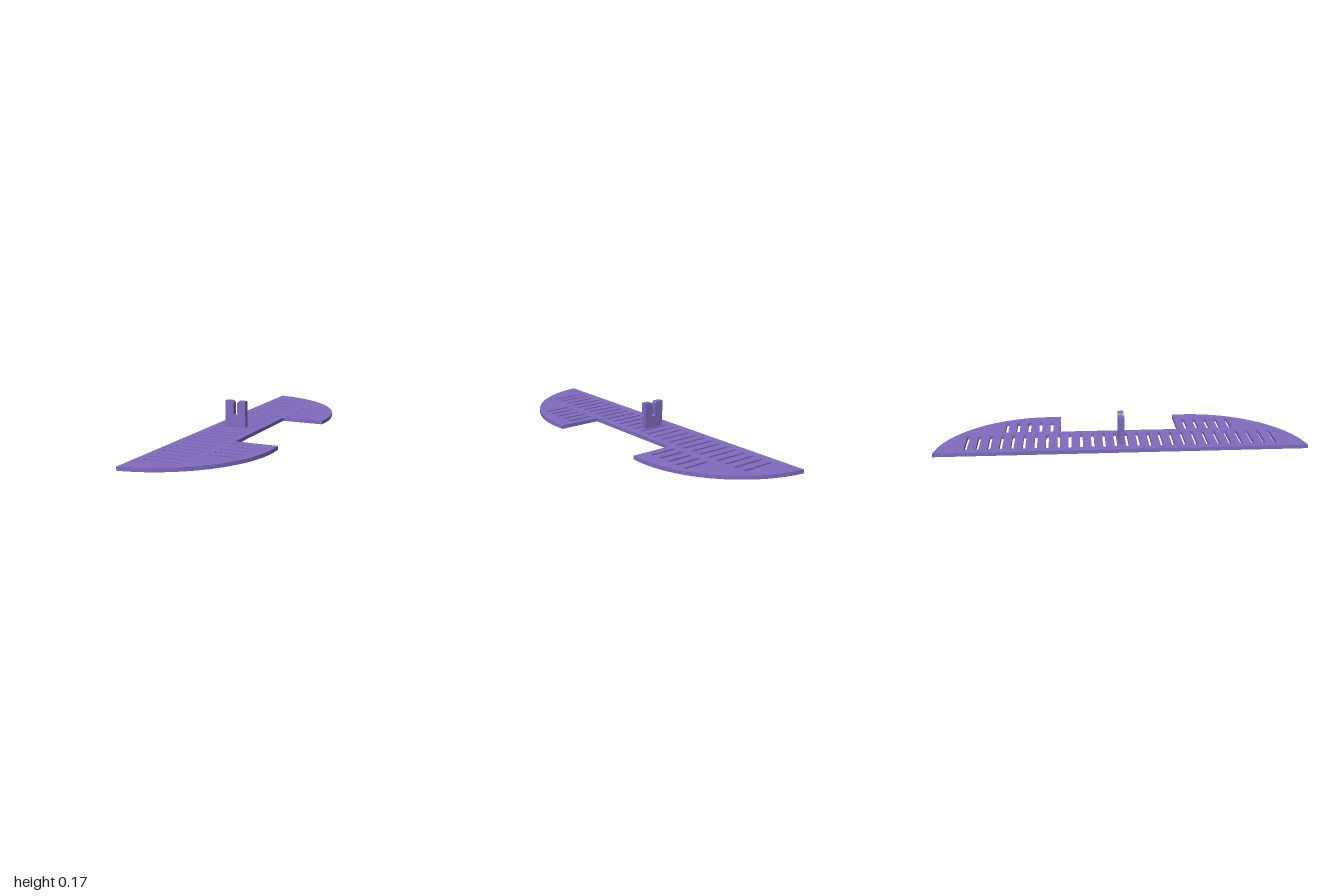
import * as THREE from 'three';

const T = 0.02; // plate thickness

// rectangular slot centred on z, spanning x0..x1
function slot(x0, x1, z, h) {
  const p = new THREE.Path();
  p.moveTo(x0, z - h / 2);
  p.lineTo(x0, z + h / 2);
  p.lineTo(x1, z + h / 2);
  p.lineTo(x1, z - h / 2);
  p.closePath();
  return p;
}

// flat plate with two rounded wings and rows of slots
function plateGeometry() {
  const cx = -0.34, cz = 0.4, r = 0.605;
  const a = Math.atan2(1 - cz, -0.265 - cx);
  const s = new THREE.Shape();
  s.moveTo(-0.265, -1);
  s.absarc(cx, -cz, r, -a, 0, false);
  s.lineTo(0.263, -0.33);
  s.lineTo(0.02, -0.33);
  s.lineTo(0.02, 0.33);
  s.lineTo(0.263, 0.33);
  s.absarc(cx, cz, r, 0, a, false);
  s.closePath();

  for (const side of [-1, 1]) {
    for (let i = 0; i < 14; i++) s.holes.push(slot(-0.22, -0.02, side * (0.0309 + i * 0.0618), 0.016));
    for (let i = 0; i < 5; i++) s.holes.push(slot(0.025, 0.18, side * (0.381 + i * 0.0625), 0.018));
  }
  const g = new THREE.ExtrudeGeometry(s, { depth: T, bevelEnabled: false, curveSegments: 40 });
  return g.rotateX(-Math.PI / 2);
}

// upright tab with a keyhole notch and chamfered mouth
function bracketGeometry() {
  const c = -0.131, w = 0.0108, r = 0.0125, cy = 0.0955, top = 0.168;
  const a = Math.acos(w / r);
  const s = new THREE.Shape();
  s.moveTo(-0.193, T);
  s.lineTo(-0.07, T);
  s.lineTo(-0.07, top);
  s.lineTo(c + 0.021, top);
  s.lineTo(c + w, top - 0.01);
  s.absarc(c, cy, r, a, Math.PI - a, true);
  s.lineTo(c - w, top - 0.01);
  s.lineTo(c - 0.021, top);
  s.lineTo(-0.193, top);
  s.closePath();
  const depth = 0.03;
  const g = new THREE.ExtrudeGeometry(s, { depth, bevelEnabled: false, curveSegments: 16 });
  return g.translate(0, 0, -depth / 2);
}

export function createModel() {
  const group = new THREE.Group();
  const purple = new THREE.MeshStandardMaterial({ color: 0x806cc0 });
  purple.name = 'purple';

  const plate = new THREE.Mesh(plateGeometry(), purple);
  plate.name = 'slottedPlate';
  const bracket = new THREE.Mesh(bracketGeometry(), purple);
  bracket.name = 'notchedBracket';
  group.add(plate, bracket);
  return group;
}
